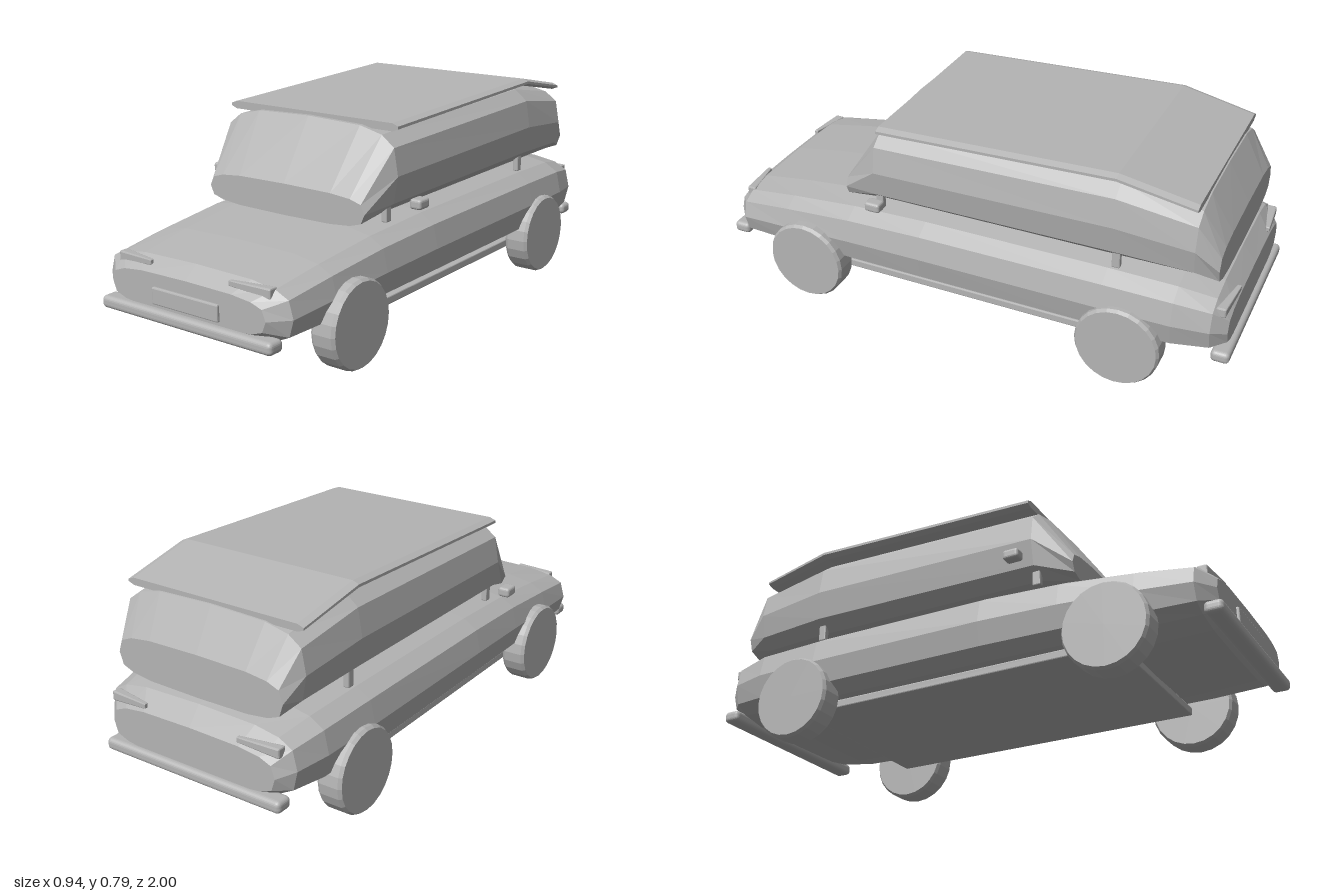
import * as THREE from 'three';
import { RoundedBoxGeometry } from 'three/addons/geometries/RoundedBoxGeometry.js';

const paint = new THREE.MeshStandardMaterial({ color: 0xb4b4b4, flatShading: true });
paint.name = 'grey paint';

// Closed surface through rings listed from front to back; each ring runs counter-clockwise seen from the front.
function loft(rings) {
  const n = rings[0].length, pos = rings.flat(2), idx = [];
  rings.slice(1).forEach((_, i) => {
    for (let j = 0; j < n; j++) {
      const a = i * n + j, b = i * n + (j + 1) % n;
      idx.push(a, a + n, b, b, a + n, b + n);
    }
  });
  const last = (rings.length - 1) * n;
  for (let j = 1; j < n - 1; j++) {
    idx.push(0, j, j + 1);
    idx.push(last, last + j + 1, last + j);
  }
  const geo = new THREE.BufferGeometry();
  geo.setAttribute('position', new THREE.Float32BufferAttribute(pos, 3));
  geo.setIndex(idx);
  const flat = geo.toNonIndexed();
  flat.computeVertexNormals();
  return flat;
}

// Squarish oval section: z, half width, bottom, top
function oval([z, w, bottom, top]) {
  const ring = [], p = (v) => Math.sign(v) * Math.abs(v) ** 0.556;
  for (let i = 0; i < 16; i++) {
    const a = (i * Math.PI) / 8;
    const c = i % 8 === 4 ? 0 : Math.cos(a), s = i % 8 === 0 ? 0 : Math.sin(a);
    ring.push([w * p(c), (top + bottom) / 2 + ((top - bottom) / 2) * p(s), z]);
  }
  return ring;
}

// Thin slab section with bevelled corners: z, half width, bottom, top
function slab([z, w, bottom, top]) {
  const b = 0.009, c = 0.024;
  return [
    [w, bottom + b, z], [w, top - b, z], [w - c, top, z], [c - w, top, z],
    [-w, top - b, z], [-w, bottom + b, z], [c - w, bottom, z], [w - c, bottom, z],
  ];
}

export function createModel() {
  const car = new THREE.Group();
  car.name = 'car';
  const add = (name, geo, x = 0, y = 0, z = 0) => {
    const mesh = new THREE.Mesh(geo, paint);
    mesh.name = name;
    mesh.position.set(x, y, z);
    car.add(mesh);
    return mesh;
  };

  // Lower body
  add('body', loft([
    [0.975, 0.335, 0.185, 0.312], [0.92, 0.4, 0.15, 0.355], [0.72, 0.412, 0.142, 0.388],
    [0.45, 0.42, 0.14, 0.418], [0.15, 0.425, 0.14, 0.432], [-0.55, 0.425, 0.14, 0.435],
    [-0.8, 0.42, 0.145, 0.428], [-0.93, 0.395, 0.16, 0.4], [-0.98, 0.345, 0.185, 0.335],
  ].map(oval)));

  // Cabin
  add('cabin', loft([
    [0.48, 0.345, 0.415, 0.528], [0.34, 0.383, 0.415, 0.745], [-0.57, 0.388, 0.42, 0.772],
    [-0.85, 0.375, 0.42, 0.718], [-0.93, 0.345, 0.42, 0.572],
  ].map(oval)));

  // Roof panel
  add('roof', loft([
    [0.325, 0.372, 0.729, 0.757], [-0.57, 0.375, 0.759, 0.787], [-0.845, 0.365, 0.706, 0.732],
  ].map(slab)));

  // Floor and number plate
  add('floor', new RoundedBoxGeometry(0.7, 0.03, 1.26, 1, 0.004), 0, 0.133, 0);
  add('plate', new RoundedBoxGeometry(0.29, 0.06, 0.02, 1, 0.005), 0, 0.235, 0.975);

  // Bumpers
  for (const [name, z] of [['frontBumper', 0.967], ['rearBumper', -0.967]]) {
    add(name, new RoundedBoxGeometry(0.745, 0.044, 0.066, 3, 0.016), 0, 0.171, z);
  }

  // Tapered lamp: tall and swept back at its outer end
  const lamp = (side, front) => {
    const geo = new RoundedBoxGeometry(0.16, 0.036, 0.03, 1, 0.005);
    const p = geo.attributes.position;
    for (let i = 0; i < p.count; i++) {
      const outer = (side * p.getX(i)) / 0.16 + 0.5;
      p.setY(i, 0.018 + (p.getY(i) - 0.018) * (0.5 + 0.5 * outer));
      p.setZ(i, p.getZ(i) * (0.5 + 0.7 * outer) - front * 0.022 * outer);
    }
    geo.computeVertexNormals();
    return geo;
  };

  // Wheel profile with chamfered edges
  const profile = [[0, -0.048], [0.147, -0.048], [0.155, -0.036], [0.155, 0.036], [0.147, 0.048], [0, 0.048]]
    .map(([r, h]) => new THREE.Vector2(r, h));
  const wheel = new THREE.LatheGeometry(profile, 24).rotateZ(Math.PI / 2);

  for (const [label, s] of [['left', 1], ['right', -1]]) {
    add(label + 'Headlight', lamp(s, 1), s * 0.25, 0.327, 0.95);
    add(label + 'TailLight', lamp(s, -1), s * 0.275, 0.345, -0.973);
    add(label + 'Mirror', new RoundedBoxGeometry(0.046, 0.036, 0.06, 2, 0.01), s * 0.446, 0.491, 0.302);
    add(label + 'FrontPillar', new RoundedBoxGeometry(0.022, 0.085, 0.03, 1, 0.004), s * 0.336, 0.458, 0.34);
    add(label + 'RearPillar', new RoundedBoxGeometry(0.022, 0.085, 0.03, 1, 0.004), s * 0.336, 0.455, -0.575);
    add(label + 'FrontWheel', wheel, s * 0.398, 0.155, 0.627);
    add(label + 'RearWheel', wheel, s * 0.398, 0.155, -0.623);
  }
  return car;
}
